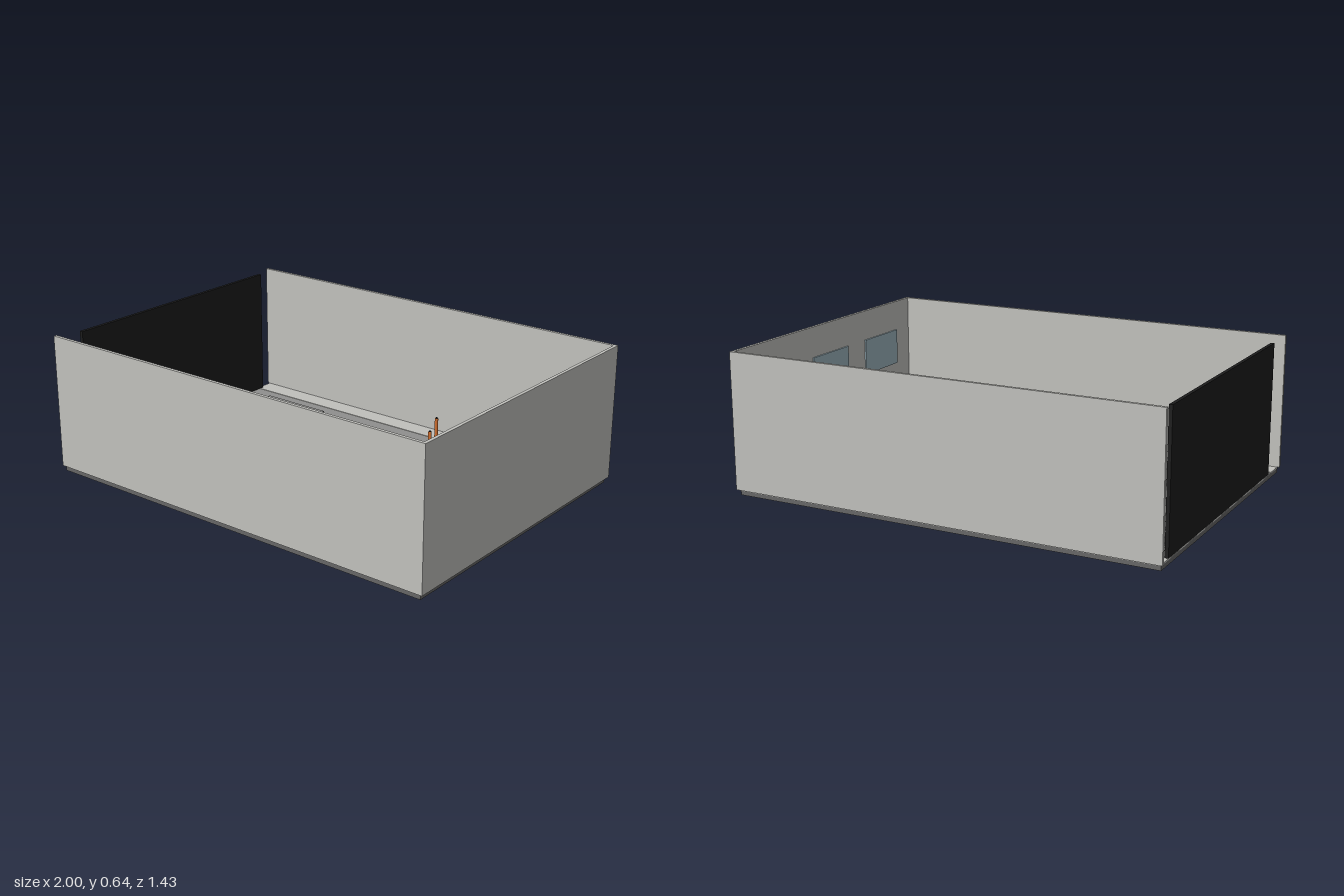
import * as THREE from 'three';

const mat = (name, color) => {
  const m = new THREE.MeshStandardMaterial({ color });
  m.name = name;
  return m;
};

export function createModel() {
  const M = {
    wall: mat('pale grey', 0xc0c0bc),
    stripe: mat('mid grey', 0x90908e),
    mat: mat('dark grey', 0x666666),
    black: mat('black', 0x1c1c1c),
    orange: mat('orange', 0xc8692a),
    red: mat('red', 0xc62828),
    blue: mat('pale blue', 0x9ab2bc),
  };
  const root = new THREE.Group();
  root.name = 'trainingHall';

  const group = (name) => {
    const g = new THREE.Group();
    g.name = name;
    root.add(g);
    return g;
  };
  // Box given by its minimum and maximum on each axis
  const box = (parent, name, m, x0, x1, y0, y1, z0, z1) => {
    const mesh = new THREE.Mesh(new THREE.BoxGeometry(x1 - x0, y1 - y0, z1 - z0), m);
    mesh.position.set((x0 + x1) / 2, (y0 + y1) / 2, (z0 + z1) / 2);
    mesh.name = name;
    parent.add(mesh);
    return mesh;
  };
  // Thin round bar between two points
  const bar = (parent, name, m, a, b, r) => {
    const p = new THREE.Vector3(...a), q = new THREE.Vector3(...b);
    const mesh = new THREE.Mesh(new THREE.CylinderGeometry(r, r, p.distanceTo(q), 8), m);
    mesh.position.copy(p).add(q).multiplyScalar(0.5);
    mesh.quaternion.setFromUnitVectors(new THREE.Vector3(0, 1, 0), q.sub(p).normalize());
    mesh.name = name;
    parent.add(mesh);
  };

  // Slab and striped floor
  const floor = group('floor');
  box(floor, 'slab', M.mat, -0.99, 0.985, 0, 0.019, -0.705, 0.705);
  for (let i = 0; i < 15; i++) {
    const z = -0.705 + i * 0.094;
    const dark = i % 2 === 1;
    box(floor, dark ? 'darkStripe' : 'lightStripe', dark ? M.stripe : M.wall,
      -0.99, 0.985, 0.019, dark ? 0.023 : 0.025, z, Math.min(z + 0.094, 0.705));
  }

  // Walls on three sides, shutter on the fourth
  const walls = group('walls');
  box(walls, 'backWall', M.wall, -1, 1, 0.025, 0.643, -0.718, -0.703);
  box(walls, 'frontWall', M.wall, -1, 1, 0.025, 0.643, 0.701, 0.716);
  box(walls, 'sideWall', M.wall, 0.985, 1, 0.025, 0.643, -0.703, 0.701);
  box(walls, 'shutter', M.black, -0.99, -0.974, 0.025, 0.632, -0.632, 0.573);

  // Windows with a radiator under each
  for (const [w, r0, r1] of [[-0.43, -0.57, -0.33], [0.005, -0.113, 0.105], [0.44, 0.29, 0.54]]) {
    box(walls, 'window', M.blue, 0.978, 0.986, 0.33, 0.50, w - 0.142, w + 0.142);
    box(walls, 'radiator', M.wall, 0.946, 0.978, 0.07, 0.19, r0, r1);
  }

  // Stored items along the side wall
  const storage = group('storage');
  box(storage, 'redBench', M.red, 0.93, 0.963, 0.025, 0.13, -0.585, -0.382);
  box(storage, 'blueBox', M.blue, 0.904, 0.957, 0.025, 0.09, -0.37, -0.30);
  box(storage, 'redBox', M.red, 0.904, 0.957, 0.025, 0.09, -0.28, -0.22);

  // Floor mats
  const mats = group('mats');
  for (const [x0, x1, z0, z1, h] of [
    [-0.97, -0.21, -0.505, -0.275, 0.036], [-0.48, -0.265, -0.24, -0.01, 0.036],
    [0.165, 0.385, -0.24, -0.01, 0.036], [-0.94, -0.33, 0.20, 0.432, 0.036],
    [-0.40, -0.11, 0.20, 0.436, 0.035], [0.085, 0.375, 0.20, 0.436, 0.036],
  ]) box(mats, 'mat', M.mat, x0, x1, 0.025, h, z0, z1);

  // Stairs rising to a platform and down again
  const stairs = (name, x0, x1, x2, x3, z0, z1) => {
    const g = group(name);
    const n = 5, base = 0.036, top = 0.085;
    box(g, 'platform', M.stripe, x1, x2, base, top, z0, z1);
    for (const [from, to] of [[x0, x1], [x3, x2]]) {
      for (let i = 0; i < n; i++) {
        const a = from + (to - from) * i / n;
        const b = from + (to - from) * (i + 0.8) / n;
        const c = from + (to - from) * (i + 1) / n;
        const h = base + (top - base) * (i + 1) / (n + 1);
        box(g, 'tread', M.stripe, Math.min(a, b), Math.max(a, b), base, h, z0, z1);
        box(g, 'gap', M.mat, Math.min(b, c), Math.max(b, c), base, h - 0.004, z0, z1);
      }
    }
  };
  stairs('backStairs', -0.96, -0.76, -0.41, -0.22, -0.44, -0.334);
  stairs('frontStairs', -0.915, -0.80, -0.54, -0.36, 0.26, 0.37);

  // Slatted bridge between two mats
  const bridge = group('bridge');
  for (const z of [-0.182, -0.072]) box(bridge, 'rail', M.mat, -0.26, 0.16, 0.026, 0.042, z - 0.005, z + 0.005);
  for (let i = 0; i < 14; i++) {
    const x = -0.258 + i * 0.03;
    box(bridge, 'slat', M.stripe, x, x + 0.024, 0.042, 0.052, -0.187, -0.065);
  }

  // Seesaw plank on a pivot frame
  const seesaw = group('seesaw');
  const plank = box(seesaw, 'plank', M.stripe, -0.187, 0.157, 0.074, 0.084, 0.27, 0.37);
  plank.rotation.z = 0.1;
  bar(seesaw, 'pivotBar', M.black, [-0.015, 0.092, 0.25], [-0.015, 0.092, 0.39], 0.005);
  for (const z of [0.255, 0.385]) {
    for (const s of [-1, 1]) bar(seesaw, 'pivotLeg', M.black, [-0.015, 0.092, z], [-0.015 + s * 0.018, 0.025, z], 0.004);
  }

  // Slalom markers: black foot, orange cone and pole with a dark cap
  const slalom = group('slalom');
  const profile = [[0.027, 0.036], [0.024, 0.045], [0.014, 0.075], [0.009, 0.09], [0.008, 0.205], [0, 0.205]]
    .map(([r, y]) => new THREE.Vector2(r, y));
  const add = (geo, m, name, x, y, z) => {
    const mesh = new THREE.Mesh(geo, m);
    mesh.position.set(x, y, z);
    mesh.name = name;
    slalom.add(mesh);
  };
  const foot = new THREE.CylinderGeometry(0.036, 0.036, 0.013, 20);
  const cone = new THREE.LatheGeometry(profile, 16);
  const band = new THREE.CylinderGeometry(0.015, 0.015, 0.008, 16);
  const cap = new THREE.CylinderGeometry(0.005, 0.005, 0.005, 12);
  for (let i = 0; i < 6; i++) {
    const x = 0.25 + i * 0.0717, z = -0.446 + i * 0.154;
    add(foot, M.black, 'markerFoot', x, 0.0315, z);
    add(cone, M.orange, 'markerPole', x, 0, z);
    add(band, M.black, 'markerBand', x, 0.078, z);
    add(cap, M.black, 'markerCap', x, 0.207, z);
  }

  // Low three-legged floor markers
  const forks = group('floorForks');
  for (const [x, z, s] of [[0.375, -0.578, 1], [-0.37, 0.562, -1], [0.175, 0.571, -1]]) {
    bar(forks, 'forkTail', M.black, [x, 0.032, z], [x + s * 0.045, 0.032, z], 0.004);
    for (const d of [-1, 1]) bar(forks, 'forkArm', M.black, [x, 0.032, z], [x - s * 0.032, 0.032, z + d * 0.026], 0.004);
  }

  return root;
}
